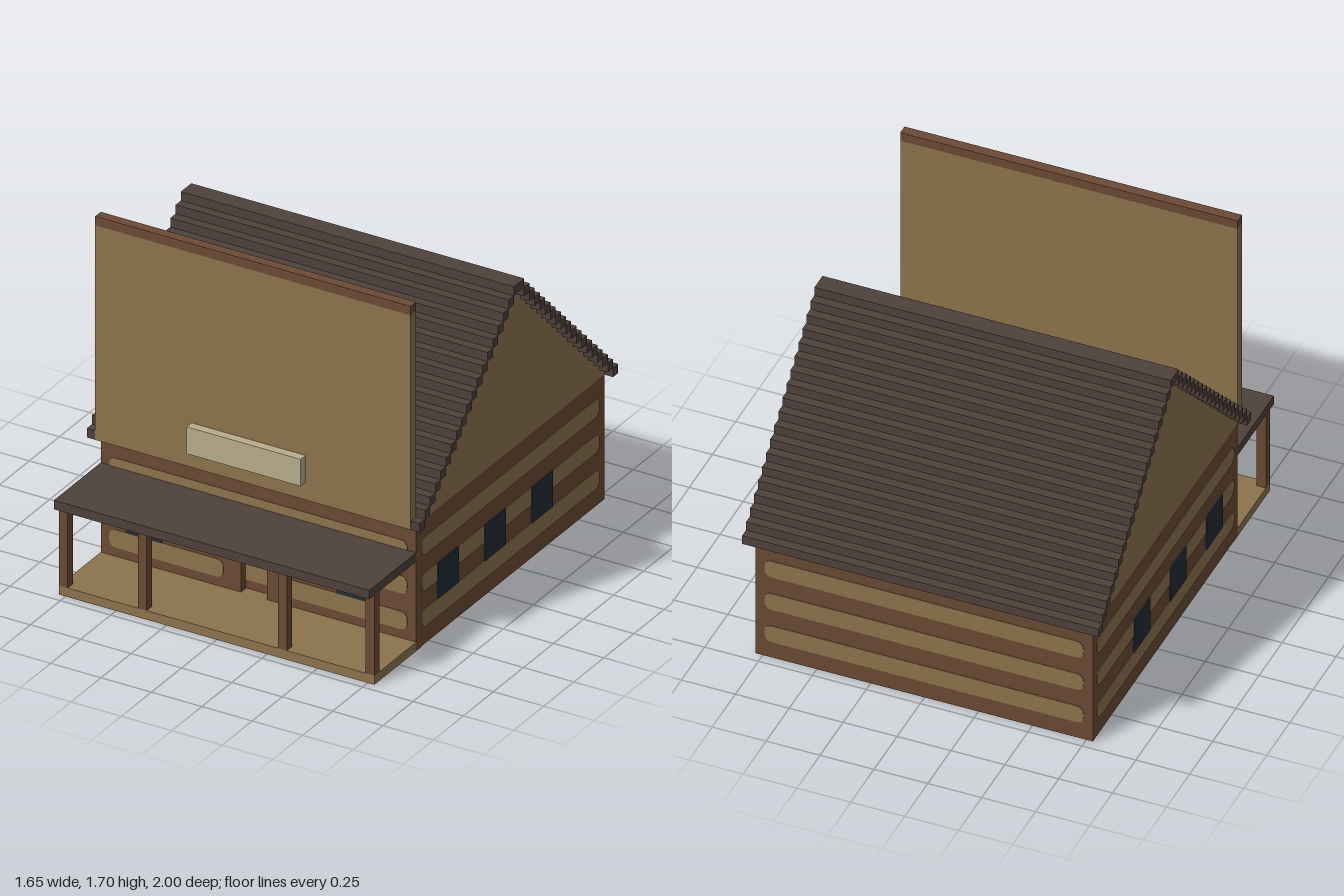
import * as THREE from 'three';

// Everything sits on a block grid: x counted from the centre, y from the ground, z from the back.
const U = 2 / 46;

const mat = (name, color) => {
  const m = new THREE.MeshStandardMaterial({ color });
  m.name = name;
  return m;
};

export function createModel() {
  const model = new THREE.Group();
  model.name = 'cabin';
  const tan = mat('tan plank', 0x8c734c);
  const brown = mat('brown log', 0x6b4a34);
  const dark = mat('dark roof', 0x4e413c);
  const pale = mat('pale board', 0xb9ae8d);
  const glass = mat('window glass', 0x232d37);

  const group = (name) => {
    const g = new THREE.Group();
    g.name = name;
    model.add(g);
    return g;
  };

  // Box between two grid corners
  function box(parent, name, m, x0, x1, y0, y1, z0, z1) {
    const mesh = new THREE.Mesh(new THREE.BoxGeometry((x1 - x0) * U, (y1 - y0) * U, (z1 - z0) * U), m);
    mesh.position.set((x0 + x1) / 2 * U, (y0 + y1) / 2 * U, -1 + (z0 + z1) / 2 * U);
    mesh.name = name;
    parent.add(mesh);
    return mesh;
  }

  // Thin log stripe with rounded ends, facing +z at the origin
  function stripe(parent, a0, a1, y0) {
    const s = new THREE.Shape();
    const r = 0.8 * U, l = a0 * U, e = a1 * U, b = y0 * U, t = b + 2 * U;
    s.moveTo(l + r, b).lineTo(e - r, b).quadraticCurveTo(e, b, e, b + r);
    s.lineTo(e, t - r).quadraticCurveTo(e, t, e - r, t);
    s.lineTo(l + r, t).quadraticCurveTo(l, t, l, t - r);
    s.lineTo(l, b + r).quadraticCurveTo(l, b, l + r, b);
    const mesh = new THREE.Mesh(
      new THREE.ExtrudeGeometry(s, { depth: 0.003, bevelEnabled: false, curveSegments: 4 }), tan);
    mesh.name = 'logStripe';
    parent.add(mesh);
  }

  function windowPane(parent, a0) {
    const mesh = new THREE.Mesh(new THREE.BoxGeometry(4 * U, 4 * U, 0.006), glass);
    mesh.position.set((a0 + 2) * U, 6 * U, 0.003);
    mesh.name = 'window';
    parent.add(mesh);
  }

  // Walls, with a doorway cut into the front
  const walls = group('walls');
  box(walls, 'house', brown, -18, 18, 0.08, 14, 1, 36);
  box(walls, 'frontWallRight', brown, -18, -2, 0, 14, 36, 37);
  box(walls, 'frontWallLeft', brown, 1, 18, 0, 14, 36, 37);
  box(walls, 'doorLintel', brown, -2, 1, 9, 14, 36, 37);
  box(walls, 'threshold', tan, -2, 1, 0, 1, 36, 37);
  box(walls, 'floor', tan, -17, 17, 0, 0.1, 2, 36);

  // Stripes and windows of the side walls
  for (const side of [-1, 1]) {
    const wall = group(side > 0 ? 'leftWallDetails' : 'rightWallDetails');
    wall.position.set(side * 18 * U, 0, 0);
    wall.rotation.y = side * Math.PI / 2;
    // local x runs along z, mirrored on one side
    const span = (k0, k1) => {
      const a = (k0 - 23) * -side, b = (k1 - 23) * -side;
      return [Math.min(a, b), Math.max(a, b)];
    };
    for (const y of [2, 10]) stripe(wall, ...span(2, 36), y);
    for (const [a, b] of [[2, 11.5], [14.5, 20.5], [23.5, 29.5], [32.5, 36]]) stripe(wall, ...span(a, b), 6);
    for (const k of [11, 20, 29]) windowPane(wall, span(k, k + 4)[0]);
  }

  // Stripes of the back wall
  const back = group('backWallDetails');
  back.position.z = -1 + U;
  back.rotation.y = Math.PI;
  for (const y of [2, 6, 10]) stripe(back, -17, 17, y);

  // Stripes and windows of the front wall
  const front = group('frontWallDetails');
  front.position.z = -1 + 37 * U;
  stripe(front, -17, 17, 10);
  for (const [a, b] of [[-17, -4], [3, 17]]) stripe(front, a, b, 2);
  for (const [a, b] of [[-17, -14.5], [-11.5, -4], [3, 9.5], [12.5, 17]]) stripe(front, a, b, 6);
  for (const a of [-15, 9]) windowPane(front, a);

  // Door set back in the doorway
  const door = group('door');
  const plate = (name, m, x0, x1, y0, y1) => box(door, name, m, x0, x1, y0, y1, 36, 36.1);
  for (const x of [-2, 0]) plate('doorPane', pale, x, x + 1, 8, 9);
  plate('doorPlate', pale, -2, -1, 5, 6);
  plate('doorLatch', dark, -1, 0, 5, 6);
  plate('doorPanel', tan, -2, 1, 2, 4);
  box(door, 'doorBar', tan, -3, 2, 6, 7, 36.5, 37.08);
  box(door, 'doorHandle', tan, 0, 2, 5, 6, 36.5, 37.08);

  // Stepped gable fill and roof courses
  const roof = group('roof');
  for (let i = 0; i < 18; i++) {
    const y = 14 + i;
    box(roof, 'gableCourse', tan, -18, 18, y, y + 1, i + 1, 37 - i);
    box(roof, 'backRoofCourse', dark, -19, 19, y, y + 1, i, i + 1);
    box(roof, 'frontRoofCourse', dark, -19, 19, y, y + 1, 37 - i, 38 - i);
  }
  box(roof, 'ridge', dark, -19, 19, 32, 33, 18, 20);

  // Tall false front with a blank sign board
  const facade = group('falseFront');
  box(facade, 'frontBoard', tan, -18, 18, 14.03, 38, 37, 38.06);
  box(facade, 'topTrim', brown, -18, 18, 38, 39, 37, 38.06);
  box(facade, 'signBoard', pale, -7, 6, 16, 19, 38, 39);

  // Porch
  const porch = group('porch');
  box(porch, 'porchFloor', tan, -18, 18, 0, 1, 37, 45);
  box(porch, 'porchRoof', dark, -18, 18, 10, 11, 37, 46);
  for (const x of [-18, -9, 7, 17]) box(porch, 'porchPost', brown, x, x + 1, 1, 10, 44, 45);

  return model;
}
